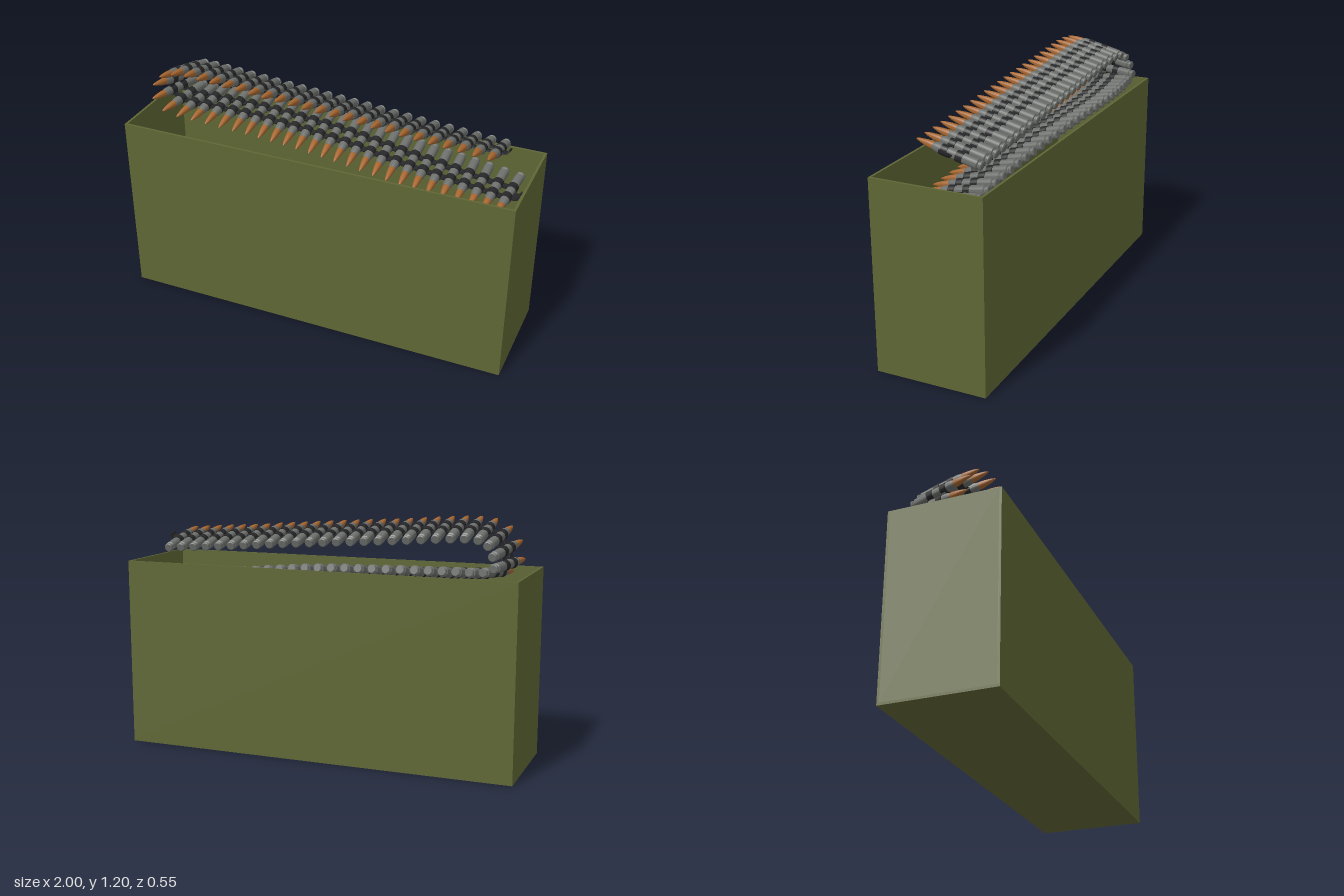
import * as THREE from 'three';
import { toCreasedNormals } from 'three/addons/utils/BufferGeometryUtils.js';

const paint = (color) => new THREE.MeshStandardMaterial({ color });
const olive = paint(0x5f6634), steel = paint(0x6b6e6a), copper = paint(0xa5652f), dark = paint(0x262628);

function mesh(name, geometry, material, parent, x = 0, y = 0, z = 0) {
  const m = new THREE.Mesh(geometry, material);
  m.name = name;
  m.position.set(x, y, z);
  parent.add(m);
  return m;
}

// turned part lying along +z, from [radius, z] pairs
function turned(profile) {
  const g = new THREE.LatheGeometry(profile.map(([r, z]) => new THREE.Vector2(r, z)), 16);
  return toCreasedNormals(g.rotateX(Math.PI / 2), 0.6);
}

export function createModel() {
  const model = new THREE.Group();
  model.name = 'ammunitionBox';

  // open-topped box
  const W = 2, H = 0.945, D = 0.554, T = 0.012;
  const box = new THREE.Group();
  box.name = 'box';
  model.add(box);
  mesh('floor', new THREE.BoxGeometry(W, T, D), olive, box, 0, T / 2, 0);
  for (const s of [-1, 1]) {
    mesh('longWall', new THREE.BoxGeometry(W, H - T, T), olive, box, 0, (H + T) / 2, s * (D - T) / 2);
    mesh('endWall', new THREE.BoxGeometry(T, H - T, D - 2 * T), olive, box, s * (W - T) / 2, (H + T) / 2, 0);
  }

  // belt stations: x, y, z, yaw, pitch (degrees, tip up)
  const stations = [
    [0.82, 1.048, -0.025, 0, 14], [0.45, 1.073, -0.025, 0, 14], [0.1, 1.1, -0.025, 0, 14],
    [-0.35, 1.13, -0.025, 0, 14], [-0.68, 1.153, -0.028, 0, 14], [-0.79, 1.15, -0.035, -2, 13],
    [-0.865, 1.115, -0.05, -8, 11], [-0.905, 1.045, -0.07, -13, 7], [-0.905, 0.98, -0.075, -13, 0],
    [-0.84, 0.955, -0.075, -12, -6], [-0.7, 0.945, -0.09, -6, -10], [-0.45, 0.935, -0.1, 0, -13],
    [0, 0.915, -0.075, 0, -14], [0.4, 0.88, -0.035, 0, -12], [0.72, 0.85, -0.02, 0, -10],
    [0.89, 0.83, -0.02, -6, -8],
  ];
  const path = new THREE.CatmullRomCurve3(stations.map(([x, y, z]) => new THREE.Vector3(x, y, z)));
  const turns = new THREE.CatmullRomCurve3(stations.map((s) => new THREE.Vector3(s[3], s[4], 0)));

  const caseGeo = turned([
    [0, -0.165], [0.018, -0.165], [0.022, -0.161], [0.022, -0.154], [0.018, -0.151],
    [0.018, -0.146], [0.0235, -0.141], [0.0225, 0.06], [0.018, 0.078], [0, 0.078],
  ]);
  const bulletGeo = turned([[0.0175, 0.07], [0.0175, 0.09], [0.0145, 0.116], [0.009, 0.145], [0.003, 0.163], [0, 0.166]]);
  const loopGeo = turned([[0.0215, -0.016], [0.026, -0.016], [0.026, 0.016], [0.0215, 0.016]]);

  // rounds with link loops
  const belt = new THREE.Group();
  belt.name = 'belt';
  model.add(belt);
  const count = Math.round(path.getLength() / 0.07);
  const rounds = [];
  for (let i = 0; i <= count; i++) {
    const turn = turns.getPoint(path.getUtoTmapping(i / count));
    const round = new THREE.Group();
    round.name = 'round';
    round.position.copy(path.getPointAt(i / count));
    round.rotation.set(-THREE.MathUtils.degToRad(turn.y), THREE.MathUtils.degToRad(turn.x), 0, 'YXZ');
    mesh('case', caseGeo, steel, round);
    mesh('bullet', bulletGeo, copper, round);
    for (const z of [-0.055, 0.02]) mesh('linkLoop', loopGeo, dark, round, 0, 0, z);
    round.updateMatrix();
    belt.add(round);
    rounds.push(round);
  }

  // flat link plates joining each round to the next
  const up = new THREE.Vector3();
  for (let i = 0; i < count; i++) {
    for (const z of [-0.055, 0.02]) {
      const a = new THREE.Vector3(0, 0, z).applyMatrix4(rounds[i].matrix);
      const b = new THREE.Vector3(0, 0, z).applyMatrix4(rounds[i + 1].matrix);
      const plate = mesh('linkPlate', new THREE.BoxGeometry(0.03, 0.008, a.distanceTo(b)), dark, belt);
      plate.position.copy(a).lerp(b, 0.5);
      // keep the plate's width along the round
      const dir = b.clone().sub(a).normalize();
      up.crossVectors(dir, new THREE.Vector3(0, 0, 1).applyQuaternion(rounds[i].quaternion)).normalize();
      const side = new THREE.Vector3().crossVectors(up, dir);
      plate.quaternion.setFromRotationMatrix(new THREE.Matrix4().makeBasis(side, up, dir));
    }
  }

  // open hook link at both belt ends
  const hook = new THREE.Shape();
  hook.moveTo(0, -0.004);
  hook.lineTo(0.038, -0.004);
  hook.quadraticCurveTo(0.062, -0.002, 0.062, 0.022);
  hook.lineTo(0.055, 0.022);
  hook.quadraticCurveTo(0.054, 0.005, 0.038, 0.004);
  hook.lineTo(0, 0.004);
  const hookGeo = new THREE.ExtrudeGeometry(hook, { depth: 0.05, bevelEnabled: false, curveSegments: 6 });
  for (const end of [rounds[0], rounds[count]]) mesh('endHook', hookGeo, dark, end, 0, 0, -0.025);

  return model;
}
